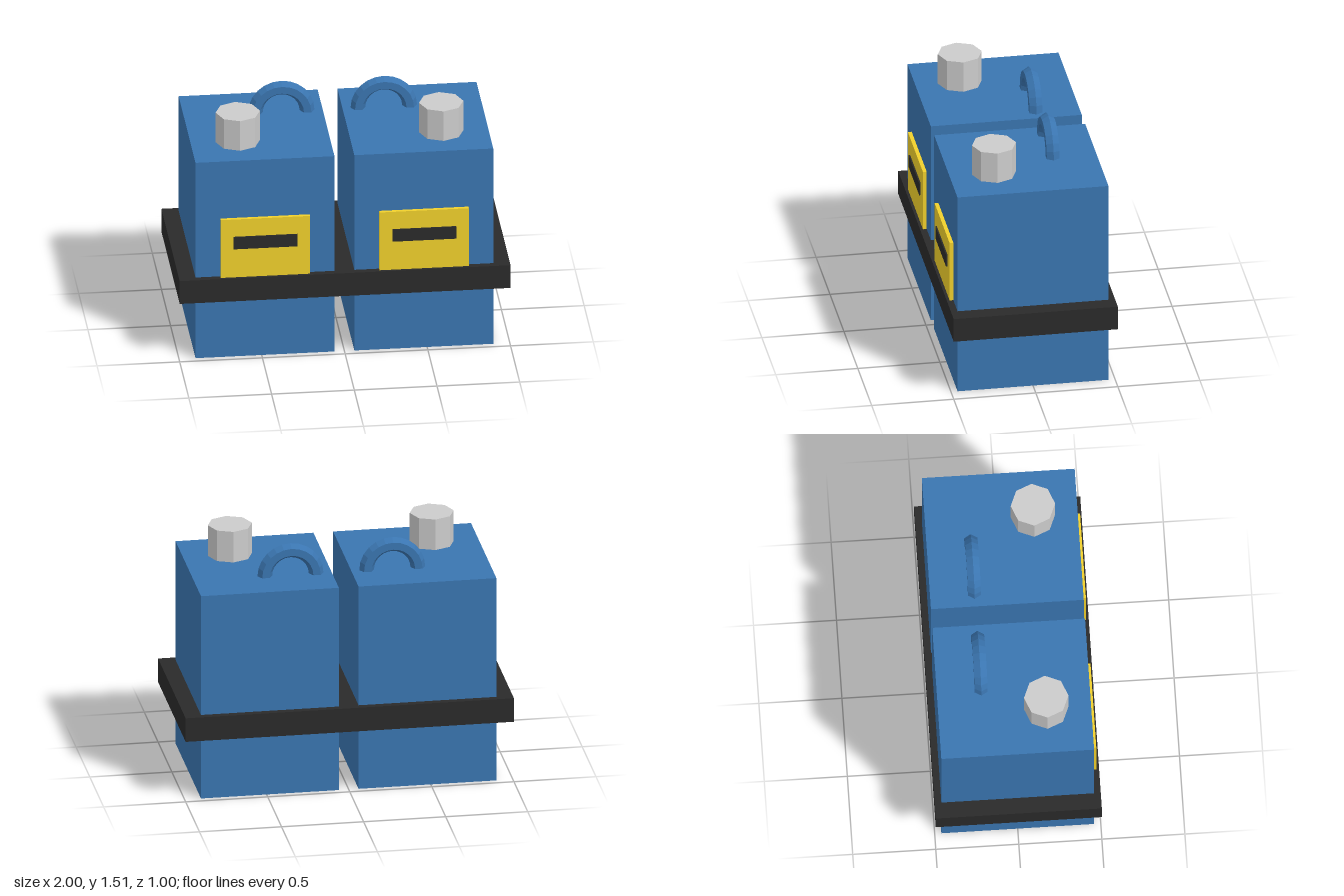
import * as THREE from 'three';

const material = (color) => new THREE.MeshStandardMaterial({ color, flatShading: true });

export function createModel() {
  const model = new THREE.Group();
  model.name = 'strappedCanisters';
  const blue = material(0x3a75b0);
  const yellow = material(0xf0d02c);
  const black = material(0x2a2a2a);
  const grey = material(0xcccccc);

  const add = (parent, name, geometry, mat, x, y, z) => {
    const mesh = new THREE.Mesh(geometry, mat);
    mesh.name = name;
    mesh.position.set(x, y, z);
    parent.add(mesh);
    return mesh;
  };

  // Two mirrored canisters
  for (const side of [-1, 1]) {
    const canister = new THREE.Group();
    canister.name = side > 0 ? 'leftCanister' : 'rightCanister';
    model.add(canister);

    add(canister, 'body', new THREE.BoxGeometry(0.84, 1.305, 0.92), blue, side * 0.48, 0.6525, 0);

    // Octagonal filler cap
    add(canister, 'cap', new THREE.CylinderGeometry(0.134, 0.134, 0.197, 8), grey, side * 0.615, 1.4035, 0.19);

    // Hexagonal-section half-ring handle
    add(canister, 'handle', new THREE.TorusGeometry(0.156, 0.045, 6, 12, Math.PI), blue, side * 0.31, 1.305, -0.193);

    // Front label with dark bar; its lower edge tucks behind the strap
    add(canister, 'label', new THREE.BoxGeometry(0.54, 0.465, 0.03), yellow, side * 0.48, 0.6925, 0.468);
    add(canister, 'labelBar', new THREE.BoxGeometry(0.385, 0.08, 0.02), black, side * 0.48, 0.77, 0.482);
  }

  // Band around both canisters
  add(model, 'strap', new THREE.BoxGeometry(2, 0.152, 1), black, 0, 0.463, 0);

  return model;
}
